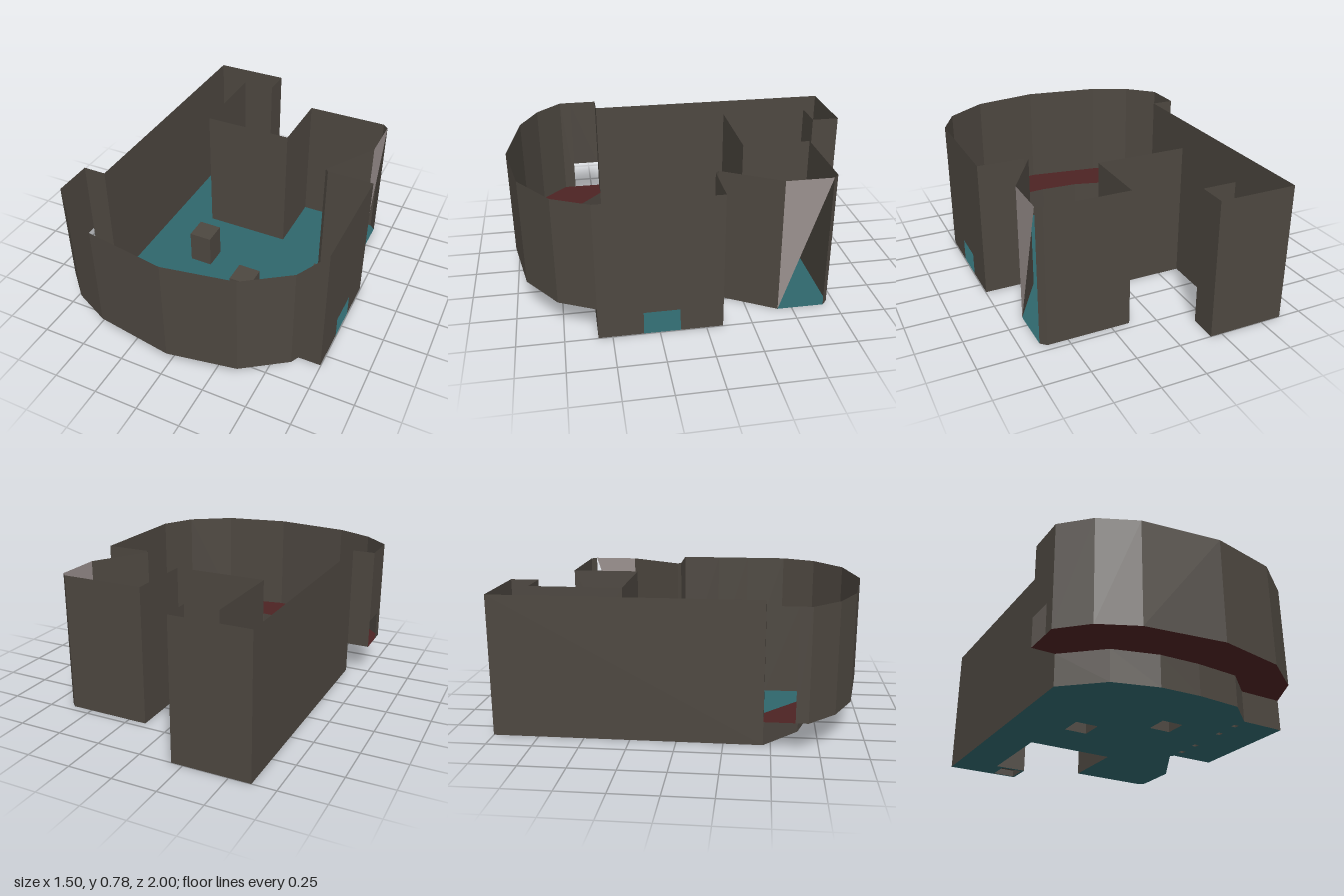
import * as THREE from 'three';

export function createModel() {
  const model = new THREE.Group();
  const mat = (name, color) => {
    const m = new THREE.MeshStandardMaterial({ color, side: THREE.DoubleSide });
    m.name = name;
    return m;
  };
  const stone = mat('brown wall', 0x4d4740);
  const teal = mat('teal floor', 0x2f666c);
  const red = mat('dark red balcony', 0x4d2323);
  const pale = mat('pale grey', 0x9a908e);
  const H = 0.78, STEP = 0.18;

  const add = (parent, name, geometry, material) => {
    const mesh = new THREE.Mesh(geometry, material);
    mesh.name = name;
    parent.add(mesh);
    return mesh;
  };
  const group = (name) => {
    const g = new THREE.Group();
    g.name = name;
    model.add(g);
    return g;
  };
  // upright thin wall between two plan points [x, z]
  const wall = (parent, name, a, b, y0, y1) => {
    const dx = b[0] - a[0], dz = b[1] - a[1];
    const m = add(parent, name, new THREE.PlaneGeometry(Math.hypot(dx, dz), y1 - y0), stone);
    m.position.set((a[0] + b[0]) / 2, (y0 + y1) / 2, (a[1] + b[1]) / 2);
    m.rotation.y = Math.atan2(-dz, dx);
  };
  // wall with a low opening between plan points p and q
  const wallWithOpening = (parent, name, a, p, q, b, y0, h) => {
    if (a !== p) wall(parent, name, a, p, y0, H);
    wall(parent, name + 'Lintel', p, q, y0 + h, H);
    wall(parent, name, q, b, y0, H);
  };
  const plan = (points) => points.map(([x, z]) => new THREE.Vector2(x, -z));
  const slab = (name, points, y, material, holes = []) => {
    const s = new THREE.Shape(plan(points));
    holes.forEach(([x, z, w]) => {
      const r = w / 2;
      s.holes.push(new THREE.Path(plan([[x - r, z - r], [x + r, z - r], [x + r, z + r], [x - r, z + r]])));
    });
    add(model, name, new THREE.ShapeGeometry(s).rotateX(-Math.PI / 2), material).position.y = y;
  };

  // plan outlines
  const room = [
    [-0.62, 0.46], [-0.62, -1], [-0.185, -1], [-0.185, -0.84], [-0.375, -0.84], [-0.375, -0.32],
    [0.145, -0.32], [0.145, -0.71], [0.615, -0.71], [0.647, -0.68], [0.647, -0.42],
    [0.465, -0.11], [0.485, -0.09], [0.747, -0.09], [0.747, 0.575],
  ];
  const frontEdge = [
    [0.747, 0.575], [0.485, 0.575], [0.32, 0.72], [0.07, 0.735], [-0.16, 0.722], [-0.41, 0.65], [-0.62, 0.46],
  ];
  const outer = [
    [-0.62, 0.46], [-0.75, 0.46], [-0.75, 0.685], [-0.605, 0.83], [-0.395, 0.93],
    [0.045, 0.998], [0.42, 0.932], [0.65, 0.77], [0.747, 0.575],
  ];

  // square pillars and posts, hollow and open underneath: x, z, width
  const pillars = [[-0.235, 0.035, 0.135], [0.16, 0.295, 0.13]];
  const posts = [-0.01, 0.125, 0.355, 0.495].map((z) => [0.485, z, 0.03]);
  const shaft = [-0.265, -0.922, 0.135];

  // floors
  slab('floor', [...room, ...frontEdge.slice(1, -1)], 0, teal, [...pillars, ...posts, shaft]);
  slab('balconyFloor', [...outer, ...frontEdge.slice(1, -1)], STEP, red);

  // room walls
  const roomWalls = group('roomWalls');
  for (let i = 0; i < room.length - 1; i++) {
    if (i === 9) continue; // half-open side panel, below
    if (i === 13) {
      wallWithOpening(roomWalls, 'sideWall', room[i], [0.747, 0.14], [0.747, 0.335], room[i + 1], 0, 0.13);
    } else wall(roomWalls, 'roomWall', room[i], room[i + 1], 0, H);
  }

  // triangular side panel
  const tri = new THREE.Shape([
    new THREE.Vector2(0, 0), new THREE.Vector2(0.26, H), new THREE.Vector2(0, H),
  ]);
  const panel = add(model, 'sidePanel', new THREE.ShapeGeometry(tri).rotateY(Math.PI / 2), pale);
  panel.position.set(0.647, 0, -0.42);

  // step below the balcony
  const step = group('balconyStep');
  for (let i = 0; i < frontEdge.length - 1; i++) wall(step, 'stepWall', frontEdge[i], frontEdge[i + 1], 0, STEP);

  // curved balcony wall
  const balcony = group('balconyWalls');
  for (let i = 0; i < outer.length - 1; i++) {
    if (i === 1) {
      wallWithOpening(balcony, 'balconyWall', outer[1], outer[1], [-0.75, 0.62], outer[2], STEP, 0.17);
    } else wall(balcony, 'balconyWall', outer[i], outer[i + 1], STEP, H);
  }

  // hollow box: four sides and a top
  const hollow = (name, [x, z, w], y0, y1) => {
    const g = group(name), r = w / 2;
    const c = [[x - r, z - r], [x + r, z - r], [x + r, z + r], [x - r, z + r]];
    c.forEach((p, i) => wall(g, name + 'Side', p, c[(i + 1) % 4], y0, y1));
    const top = add(g, name + 'Top', new THREE.PlaneGeometry(w, w).rotateX(-Math.PI / 2), stone);
    top.position.set(x, y1, z);
  };
  pillars.forEach((p) => hollow('pillar', p, 0, 0.2));
  posts.forEach((p) => hollow('post', p, 0, 0.15));
  hollow('shaftBase', shaft, 0, 0.04);
  hollow('shaft', [shaft[0], shaft[1], 0.105], 0.04, 0.2);

  return model;
}
